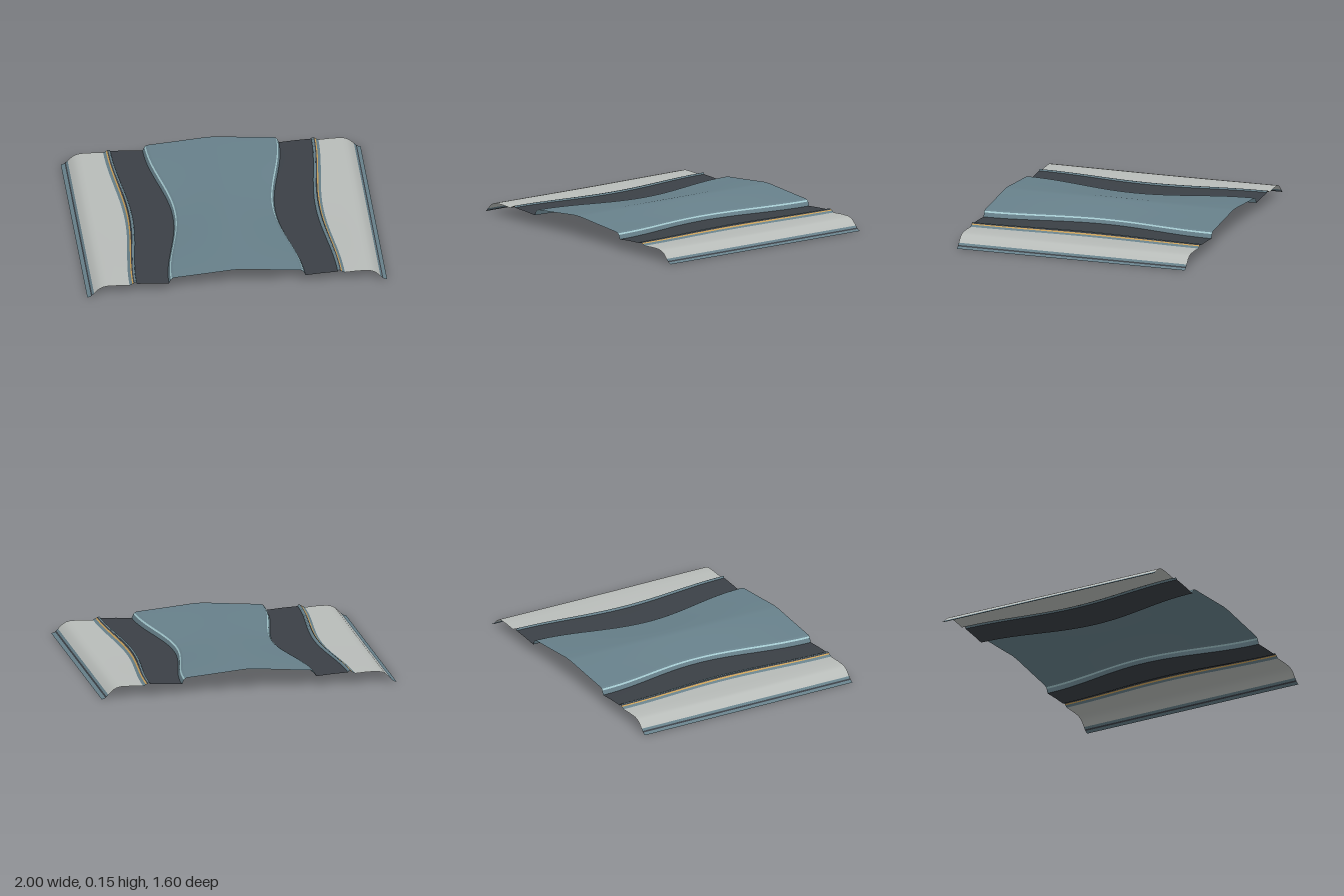
import * as THREE from 'three';

const HALF_LENGTH = 0.8;
const STEPS = 48;

const mat = (name, color) =>
  new THREE.MeshStandardMaterial({ name, color, side: THREE.DoubleSide });

// Cross-section stations run outward: [x at ends, y at ends, x at waist, y at waist]
const strips = [
  ['crownEdge', 'blue', [[0.42, 0.115, 0.31, 0.105], [0.435, 0.109, 0.322, 0.099]]],
  ['crownTrim', 'paleBlue', [[0.435, 0.109, 0.322, 0.099], [0.443, 0.1, 0.33, 0.091]]],
  ['crownStep', 'blue', [[0.443, 0.1, 0.33, 0.091], [0.455, 0.072, 0.342, 0.068]]],
  ['channel', 'charcoal', [[0.455, 0.072, 0.342, 0.068], [0.56, 0.08, 0.48, 0.075],
    [0.67, 0.085, 0.61, 0.08]]],
  ['curb', 'blue', [[0.67, 0.085, 0.61, 0.08], [0.674, 0.095, 0.616, 0.09],
    [0.684, 0.094, 0.63, 0.089]]],
  ['curbGroove', 'charcoal', [[0.684, 0.094, 0.63, 0.089], [0.692, 0.09, 0.638, 0.082]]],
  ['pinstripe', 'gold', [[0.692, 0.09, 0.638, 0.082], [0.7, 0.085, 0.646, 0.074]]],
  ['curbFoot', 'blue', [[0.7, 0.085, 0.646, 0.074], [0.718, 0.075, 0.662, 0.066]]],
  ['shoulder', 'lightGrey', [[0.718, 0.075, 0.662, 0.066], [0.8, 0.08, 0.78, 0.074],
    [0.87, 0.08, 0.87, 0.077], [0.9, 0.073, 0.9, 0.071], [0.925, 0.059, 0.925, 0.057],
    [0.945, 0.039, 0.945, 0.038], [0.955, 0.029, 0.955, 0.029]]],
  ['sillUpper', 'blue', [[0.955, 0.029, 0.955, 0.029], [0.967, 0.017, 0.967, 0.017]]],
  ['sillGroove', 'charcoal', [[0.967, 0.017, 0.967, 0.017], [0.975, 0.009, 0.975, 0.009]]],
  ['sillLip', 'blue', [[0.975, 0.009, 0.975, 0.009], [0.986, 0.004, 0.986, 0.004],
    [1, 0, 1, 0]]],
];

// Sweep stations along z, easing from end section to waist section and back
function sweep(stations, side = 1) {
  const n = stations.length;
  const pos = [];
  const index = [];
  for (let j = 0; j <= STEPS; j++) {
    const z = -HALF_LENGTH + (2 * HALF_LENGTH * j) / STEPS;
    const t = (1 + Math.cos((Math.PI * z) / HALF_LENGTH)) / 2;
    for (const [x0, y0, x1, y1] of stations) {
      pos.push(side * (x0 + (x1 - x0) * t), y0 + (y1 - y0) * t, z);
    }
  }
  for (let j = 0; j < STEPS; j++) {
    for (let i = 0; i < n - 1; i++) {
      const a = j * n + i, b = a + 1, c = a + n, d = c + 1;
      if (side > 0) index.push(a, c, b, b, c, d);
      else index.push(a, b, c, b, d, c);
    }
  }
  const geo = new THREE.BufferGeometry();
  geo.setAttribute('position', new THREE.Float32BufferAttribute(pos, 3));
  geo.setIndex(index);
  geo.computeVertexNormals();
  return geo;
}

export function createModel() {
  const group = new THREE.Group();
  group.name = 'contouredPanel';
  const mats = {
    blue: mat('slateBlue', 0x67808a),
    paleBlue: mat('paleBlue', 0xa3c8ce),
    charcoal: mat('charcoal', 0x3b4046),
    gold: mat('gold', 0xc9a05a),
    lightGrey: mat('lightGrey', 0xb8bcb9),
  };
  const add = (name, geo, material) => {
    const mesh = new THREE.Mesh(geo, material);
    mesh.name = name;
    group.add(mesh);
  };

  // Central crown, one smooth sheet over the ridge
  add('crown', sweep([
    [-0.42, 0.115, -0.31, 0.105], [-0.22, 0.132, -0.16, 0.128], [-0.03, 0.149, -0.03, 0.148],
    [0.03, 0.149, 0.03, 0.148], [0.22, 0.132, 0.16, 0.128], [0.42, 0.115, 0.31, 0.105],
  ]), mats.blue);

  // Mirrored strips from the crown edge out to the sills
  for (const side of [1, -1]) {
    for (const [name, color, stations] of strips) {
      add((side > 0 ? 'left_' : 'right_') + name, sweep(stations, side), mats[color]);
    }
  }
  return group;
}
